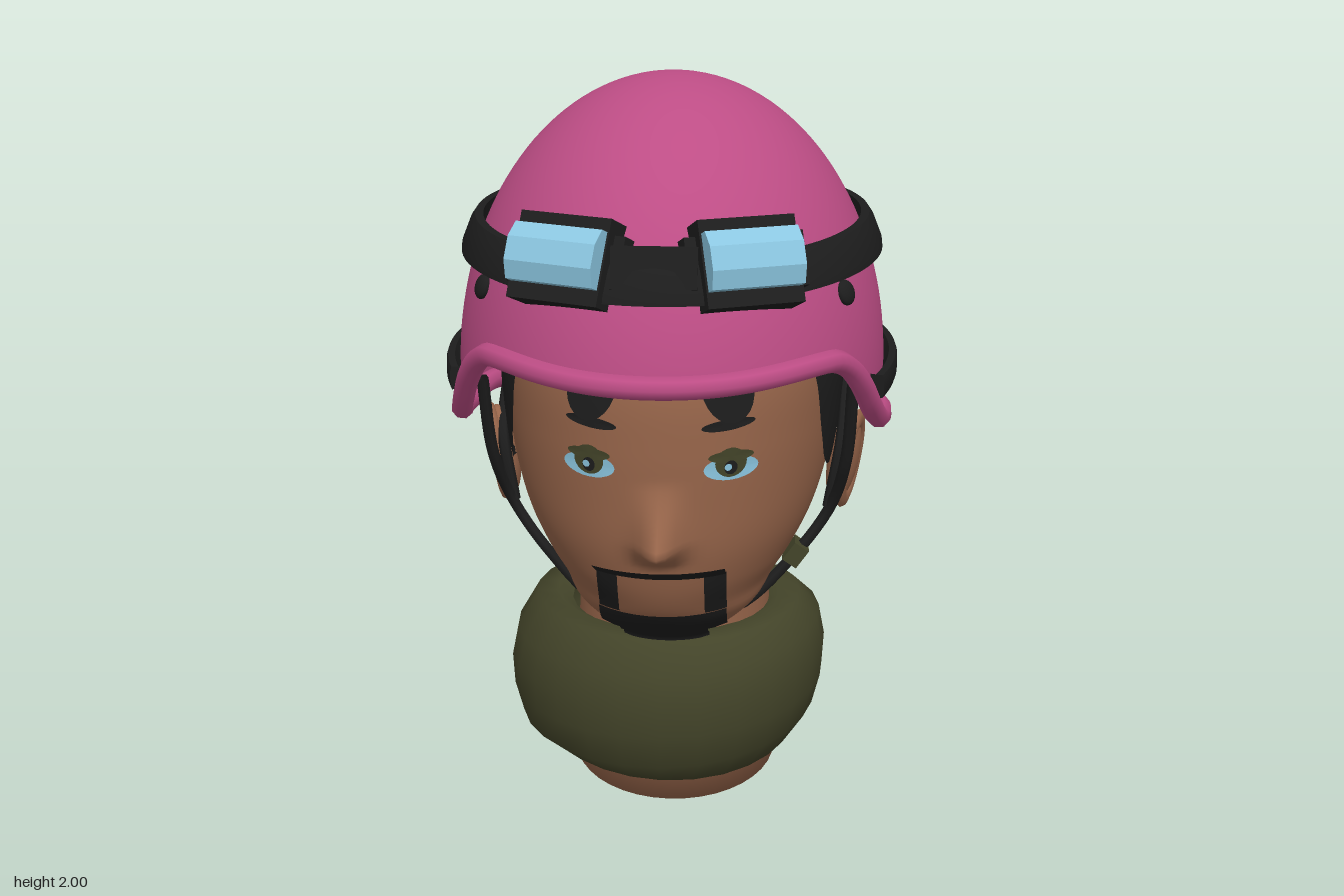
import * as THREE from 'three';
import { toCreasedNormals } from 'three/addons/utils/BufferGeometryUtils.js';

const { sin, cos, PI, sqrt, max, min, exp } = Math;
const mat = (name, color) => new THREE.MeshStandardMaterial({ name, color, side: THREE.DoubleSide });

// Grid surface from fn(u, v) -> [x, y, z]; wrap closes it around u
function surf(fn, nu, nv, wrap = false) {
  const pos = [], idx = [], cols = wrap ? nu : nu + 1;
  for (let j = 0; j <= nv; j++) for (let i = 0; i < cols; i++) pos.push(...fn(i / nu, j / nv));
  for (let j = 0; j < nv; j++) for (let i = 0; i < nu; i++) {
    const k = (i + 1) % cols, a = j * cols + i, b = j * cols + k;
    idx.push(a, b, b + cols, a, b + cols, a + cols);
  }
  const g = new THREE.BufferGeometry();
  g.setAttribute('position', new THREE.Float32BufferAttribute(pos, 3));
  g.setIndex(idx);
  g.computeVertexNormals();
  return g;
}

// Smooth interpolation in a table of rows [key, values...] with rising keys
function sample(rows, k, c) {
  const n = rows.length - 1;
  let i = 0;
  while (i < n - 1 && k > rows[i + 1][0]) i++;
  const slope = j => {
    const a = rows[max(j - 1, 0)], b = rows[min(j + 1, n)];
    return (b[c] - a[c]) / (b[0] - a[0]);
  };
  const h = rows[i + 1][0] - rows[i][0], t = min(max((k - rows[i][0]) / h, 0), 1);
  const t2 = t * t, t3 = t2 * t;
  return (2 * t3 - 3 * t2 + 1) * rows[i][c] + (t3 - 2 * t2 + t) * h * slope(i)
    + (3 * t2 - 2 * t3) * rows[i + 1][c] + (t3 - t2) * h * slope(i + 1);
}

// Head sections: height, half width, front z, back z
const HEAD = [
  [0.55, 0.13, 0.22, 0.06], [0.60, 0.19, 0.31, -0.02], [0.66, 0.25, 0.375, -0.13],
  [0.71, 0.29, 0.41, -0.36], [0.78, 0.335, 0.44, -0.42], [0.88, 0.385, 0.465, -0.49],
  [1.0, 0.42, 0.475, -0.54], [1.15, 0.44, 0.48, -0.56], [1.3, 0.445, 0.47, -0.56],
  [1.5, 0.41, 0.41, -0.5], [1.7, 0.28, 0.26, -0.34]];
function section(y) {
  const rx = sample(HEAD, y, 1), f = sample(HEAD, y, 2), b = sample(HEAD, y, 3);
  return { rx, zc: (f + b) / 2, rz: (f - b) / 2 };
}
const faceZ = (x, y) => {
  const s = section(y);
  return s.zc + s.rz * sqrt(max(0, 1 - (x / s.rx) ** 2));
};
// Lays a flat geometry onto the face, raised by lift(x, y)
function onFace(geo, lift) {
  const p = geo.attributes.position;
  for (let i = 0; i < p.count; i++) {
    const x = p.getX(i), y = p.getY(i);
    p.setZ(i, faceZ(x, y) + lift(x, y));
  }
  geo.computeVertexNormals();
  return geo;
}
const oval = (x, y, rx, ry, rot, lift) =>
  onFace(new THREE.CircleGeometry(1, 24).scale(rx, ry, 1).rotateZ(rot).translate(x, y, 0), () => lift);
const patch = (x0, x1, y0, y1, lift) =>
  onFace(new THREE.PlaneGeometry(x1 - x0, y1 - y0, 10, 6).translate((x0 + x1) / 2, (y0 + y1) / 2, 0), lift);

// Helmet shell: point at angle t (0 = front) and height y, pushed out by off
const shellRz = t => (cos(t) > 0 ? 0.72 : 0.655);
function shell(t, y, off = 0) {
  const k = min((y - 1.25) / 0.75, 1), s = k > 0 ? sqrt(1 - k * k) : 1 - 0.18 * k * k;
  const taper = 1 - 0.03 * max(0, cos(t)) ** 2;
  return [(0.56 * s * taper + off) * sin(t), y, -0.04 + (shellRz(t) * s + off) * cos(t)];
}
const RIM = [[-0.7, 0.97], [-0.55, 0.975], [-0.42, 1.04], [-0.28, 1.105], [-0.05, 1.115],
  [0.12, 1.14], [0.24, 1.22], [0.34, 1.325], [0.43, 1.378], [0.7, 1.378]];
const rimY = t => sample(RIM, -0.04 + shellRz(t) * cos(t), 1);

// Strip lying on the shell between two angles, with pinched ends unless closed
function band(y0, y1, thick, t0, t1, n, wrap) {
  const h = y1 - y0;
  const prof = [[y0, 0], [y0, 0.9], [y0 + h * 0.2, 1], [y1 - h * 0.2, 1], [y1, 0.9], [y1, 0.4], [y0, 0]];
  return toCreasedNormals(surf((u, v) => {
    const [y, o] = prof[Math.round(v * 6)];
    const end = !wrap && (u === 0 || u === 1);
    const w = wrap ? u : min(max((u * n - 1) / (n - 2), 0), 1);
    return shell(t0 + (t1 - t0) * w, y, o && !end ? thick * o : -0.01);
  }, n, 6, wrap), 0.7);
}

export function createModel() {
  const pink = mat('helmet pink', 0xbd4d85), black = mat('black', 0x1d1d1d), skin = mat('skin', 0x97654a),
    olive = mat('olive cloth', 0x434429), blue = mat('pale blue', 0x8bc6e0);
  const model = new THREE.Group();
  const add = (name, geo, m, parent = model) => {
    const mesh = new THREE.Mesh(geo, m);
    mesh.name = name;
    parent.add(mesh);
    return mesh;
  };

  // Head with the nose raised from the face
  add('head', surf((u, v) => {
    const t = u * 2 * PI, y = 0.55 + 1.15 * v, s = section(y), r = v === 0 || v === 1 ? 0 : 1;
    const x = s.rx * sin(t) * r;
    const rise = y < 0.905 ? max(0, (y - 0.845) / 0.06) : max(0, 1 - (y - 0.905) / 0.17) ** 1.4;
    const nose = cos(t) > 0 ? 0.11 * rise * exp(-((x / 0.05) ** 2)) : 0;
    return [x, y, s.zc + s.rz * cos(t) * r + nose];
  }, 120, 80, true), skin);

  // Neck with a sloping, closed cut at the bottom
  add('neck', surf((u, v) => {
    const t = u * 2 * PI, k = max(v * 5 - 1, 0) / 4, r = v === 0 ? 0 : 0.29 - 0.03 * k;
    return [r * sin(t), 0.03 - 0.1 * r * cos(t) * (1 - k) + 0.7 * k, -0.15 + 0.05 * k + r * cos(t)];
  }, 40, 5, true), skin);

  // Cropped hair over the back of the head and the temples
  const EDGE = [[0.705, -0.22], [0.95, -0.1], [1.0, 0.1], [1.1, 0.19], [1.3, 0.25], [1.4, 0.27]];
  add('hair', surf((u, v) => {
    const y = 0.705 + 0.69 * v, s = section(y);
    const c = min(max((sample(EDGE, y, 1) - s.zc) / s.rz, -0.95), 0.95);
    const t0 = Math.acos(c), t = t0 + (2 * PI - 2 * t0) * u;
    return [(s.rx + 0.012) * sin(t), y, s.zc + (s.rz + 0.012) * cos(t)];
  }, 60, 30), black);

  // Neck scarf, a lopsided soft ring hugging the neck, lower at the nape
  const CLOTH = [[0.64, 0.22], [0.7, 0.12], [0.8, 0.1], [0.94, 0.17], [0.99, 0.27], [1, 0.36],
    [0.96, 0.45], [0.83, 0.53], [0.7, 0.535], [0.61, 0.51]];
  add('scarf', surf((u, v) => {
    const t = u * 2 * PI, [r, y] = CLOTH[Math.round(v * 9)];
    const w = r * (1 + 0.025 * sin(3 * t + 1) * r);
    const low = y < 0.2 ? 0.012 * sin(t) ** 2 : 0, dip = y > 0.44 ? 0.04 * max(0, -cos(t)) ** 4 : 0;
    const lean = r > 0.9 ? 0.025 * sin(t) : 0;
    return [-0.015 + 0.45 * w * sin(t), y + low + lean - dip, -0.122 + 0.41 * w * cos(t)];
  }, 26, 9, true), olive);

  // Helmet shell and rolled rim
  add('helmetShell', surf((u, v) => {
    const t = u * 2 * PI, a0 = Math.asin((rimY(t) - 1.25) / 0.75);
    return shell(t, 1.25 + 0.75 * sin(a0 + (PI / 2 - a0) * v));
  }, 96, 40, true), pink);
  const rim = [];
  for (let i = 0; i < 64; i++) {
    const t = i / 64 * 2 * PI;
    rim.push(new THREE.Vector3(...shell(t, rimY(t), cos(t) > 0 ? 0.002 : -0.006)));
  }
  add('helmetRim', new THREE.TubeGeometry(new THREE.CatmullRomCurve3(rim, true), 160, 0.029, 8, true), pink);
  add('goggleStrap', band(1.565, 1.655, 0.042, 0, 2 * PI, 96, true), black);

  // Goggles: bridge plus one eyepiece on each side
  const bridge = add('goggleBridge', new THREE.BoxGeometry(0.2, 0.1, 0.08), black);
  bridge.position.set(0, 1.63, 0.575);
  bridge.rotation.x = -0.4;

  for (const s of [1, -1]) {
    const side = s > 0 ? 'left' : 'right';
    const eye = new THREE.Group();
    eye.name = side + 'Eyepiece';
    eye.position.set(s * 0.202, 1.64, 0.53);
    eye.rotation.set(-0.42, s * 0.38, 0, 'YXZ');
    model.add(eye);
    add('goggleFrame', new THREE.BoxGeometry(0.235, 0.205, 0.11), black, eye).position.y = -0.005;
    add('strapClip', new THREE.BoxGeometry(0.29, 0.13, 0.09), black, eye).position.z = -0.02;
    const lens = new THREE.CylinderGeometry(0.062, 0.062, 0.225, 8, 1).rotateZ(PI / 2).rotateX(PI / 8);
    add('goggleLens', toCreasedNormals(lens.scale(1, 1.18, 0.7), 0.5), blue, eye).position.set(0, -0.002, 0.065);

    // Side rail and bolts on the helmet
    add(side + 'Rail', band(1.23, 1.29, 0.036, s * 1.186, s * 2.01, 20, false), black);
    for (const t of [1.02, 2.4]) {
      const bolt = add(side + 'Bolt', new THREE.SphereGeometry(0.032, 16, 10).scale(1, 1, 0.5), black);
      bolt.position.set(...shell(s * t, 1.52, 0.004));
      bolt.rotation.set(-0.35, s * t, 0, 'YXZ');
    }

    // Ear with a raised outer fold
    const ear = new THREE.Group();
    ear.name = side + 'Ear';
    ear.position.set(s * 0.465, 0.97, -0.045);
    ear.rotation.set(0, s * -0.3, s * -0.14);
    model.add(ear);
    add('earBody', new THREE.SphereGeometry(1, 20, 14).scale(0.04, 0.13, 0.076), skin, ear);
    add('earFold', new THREE.TorusGeometry(0.064, 0.016, 8, 28).rotateY(PI / 2).scale(1, 1.8, 1), skin, ear)
      .position.x = s * 0.018;

    // Eyes, brows and forelocks
    add(side + 'EyeWhite', oval(s * 0.175, 1.106, 0.066, 0.031, 0, 0.005), blue);
    add(side + 'Iris', oval(s * 0.175, 1.122, 0.038, 0.038, 0, 0.008), olive);
    add(side + 'UpperLid', oval(s * 0.175, 1.138, 0.055, 0.015, 0, 0.009), olive);
    add(side + 'Pupil', oval(s * 0.175, 1.11, 0.016, 0.018, 0, 0.011), black);
    add(side + 'EyeGlint', oval(s * 0.175 - 0.006, 1.112, 0.009, 0.009, 0, 0.014), blue);
    add(side + 'Brow', oval(s * 0.168, 1.22, 0.065, 0.014, s * 0.08, 0.01), black);
    add(side + 'Forelock', oval(s * 0.165, 1.31, 0.06, 0.088, s * 0.35, 0.018), black);

    // Goatee side strip
    add(side + 'BeardStrip', patch(min(s * 0.11, s * 0.165), max(s * 0.11, s * 0.165), 0.685, 0.815, () => 0.007), black);

    // Chin straps
    const strap = (name, pts) => add(name, new THREE.TubeGeometry(
      new THREE.CatmullRomCurve3(pts.map(([x, y, z]) => new THREE.Vector3(s * x, y, z))), 32, 0.016, 6), black);
    strap(side + 'FrontStrap', [[0.475, 1.25, 0.2], [0.465, 1.02, 0.13], [0.425, 0.85, 0.05],
      [0.33, 0.72, 0.075], [0.19, 0.59, 0.11], [0, 0.55, 0.15]]);
    strap(side + 'RearStrap', [[0.47, 1.15, -0.2], [0.455, 1.04, 0.02], [0.425, 0.86, 0.05]]);
  }

  // Moustache standing off the lip, and chin beard
  add('moustache', patch(-0.165, 0.165, 0.81, 0.87, (x, y) => 0.01 + max(0, (y - 0.81) / 0.06) * 0.09), black);
  add('chinBeard', patch(-0.165, 0.165, 0.61, 0.69, () => 0.02), black);
  add('lowerChinBeard', patch(-0.115, 0.115, 0.54, 0.615, () => 0.02), black);

  // Strap buckle on the left side only
  const buckle = add('strapBuckle', new THREE.BoxGeometry(0.045, 0.06, 0.06), olive);
  buckle.position.set(0.34, 0.735, 0.07);
  buckle.rotation.z = -0.6;
  return model;
}
